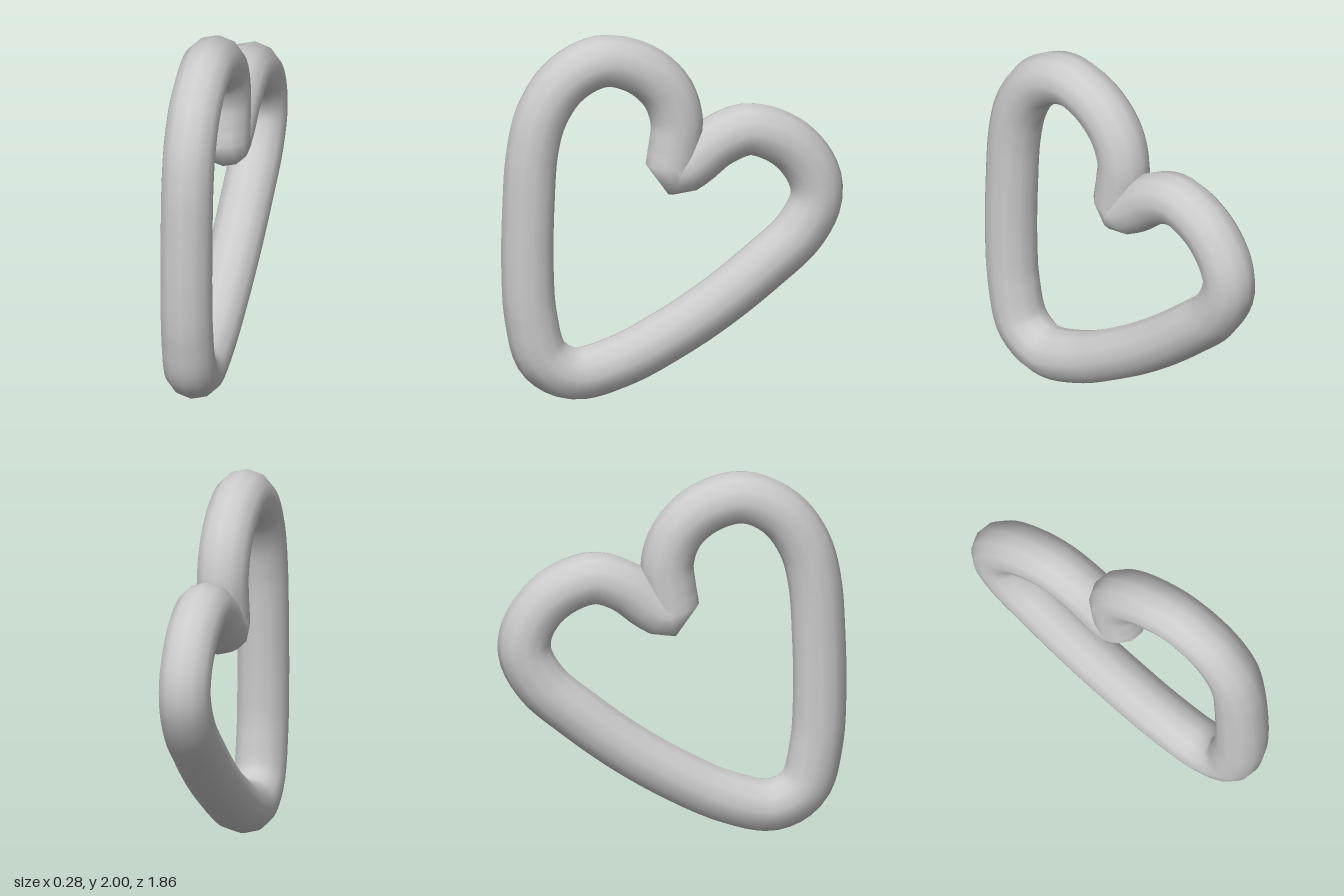
import * as THREE from 'three';

export function createModel() {
  const group = new THREE.Group();
  group.name = 'heartLink';

  // Centre line of the tilted heart in the side plane, as [z, y]
  const path = [
    [0.54, 0.145], [0.70, 0.24], [0.767, 0.47], [0.786, 0.75], [0.78, 1.1],
    [0.76, 1.38], [0.71, 1.58], [0.60, 1.75], [0.46, 1.84], [0.34, 1.86],
    [0.16, 1.797], [0.03, 1.67], [-0.024, 1.51], [-0.012, 1.36],
    [0.0, 1.25], [-0.03, 1.235], [-0.10, 1.268], [-0.25, 1.38],
    [-0.42, 1.432], [-0.63, 1.345], [-0.76, 1.18], [-0.782, 1.03],
    [-0.69, 0.85], [-0.50, 0.68], [-0.25, 0.49], [0.0, 0.335], [0.29, 0.195],
  ].map(([z, y]) => new THREE.Vector3(0, y, z));
  const curve = new THREE.CatmullRomCurve3(path, true, 'centripetal');

  // Round twelve-sided tube swept along the closed heart
  const heart = new THREE.Mesh(
    new THREE.TubeGeometry(curve, 128, 0.142, 12, true),
    new THREE.MeshStandardMaterial({ color: 0xcccccc })
  );
  heart.name = 'heartTube';
  group.add(heart);
  return group;
}
